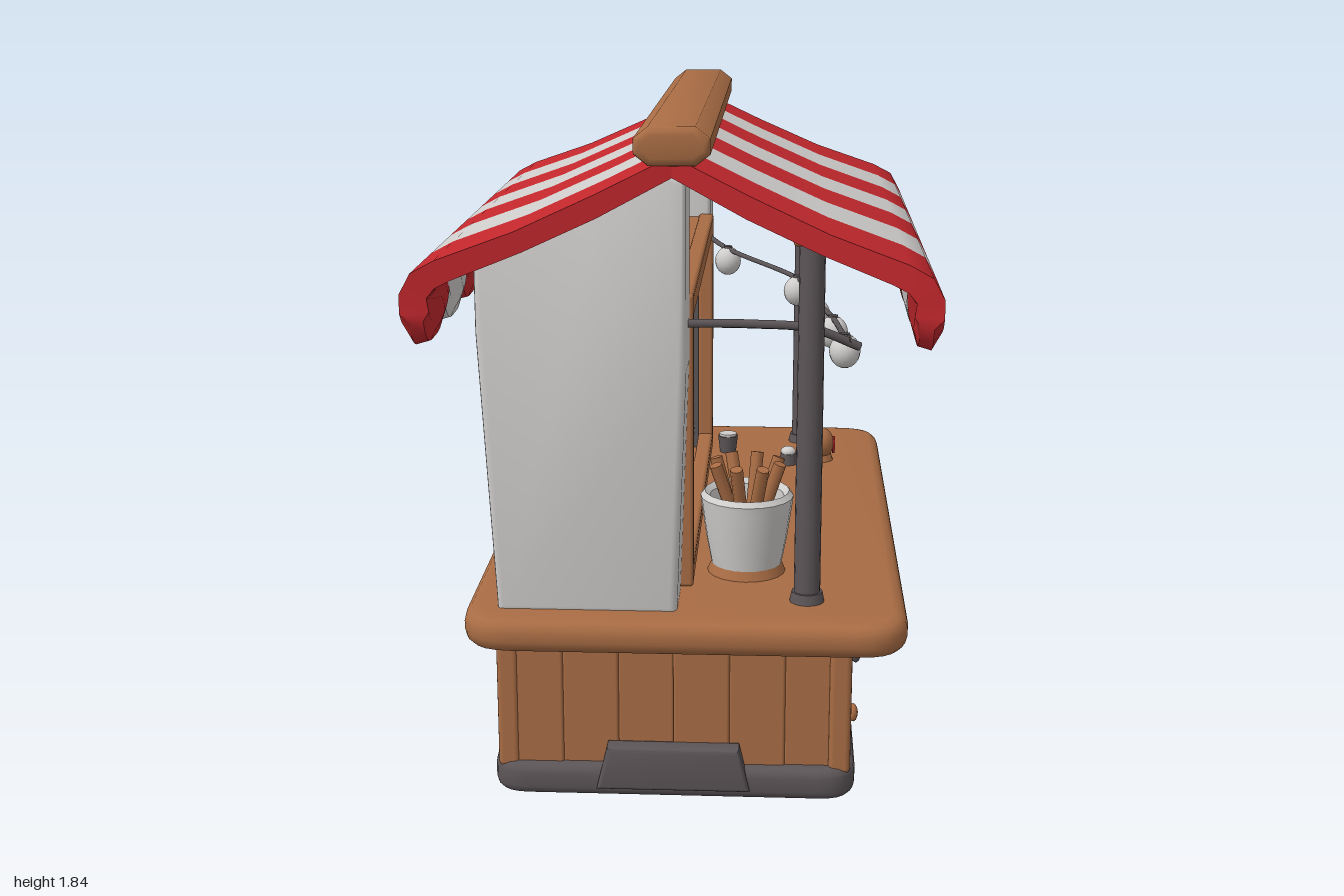
import * as THREE from 'three';
import { toCreasedNormals } from 'three/addons/utils/BufferGeometryUtils.js';
import { RoundedBoxGeometry } from 'three/addons/geometries/RoundedBoxGeometry.js';

const material = (name, color, extra = {}) => {
  const m = new THREE.MeshStandardMaterial({ color, ...extra });
  m.name = name;
  return m;
};

export function createModel() {
  const wood = material('wood', 0xa86c44);
  const white = material('white', 0xd0cecc);
  const red = material('red', 0xc3282d);
  const dark = material('dark grey', 0x5c5557);
  const model = new THREE.Group();

  const add = (name, geometry, mat, x = 0, y = 0, z = 0, parent = model) => {
    const mesh = new THREE.Mesh(geometry, mat);
    mesh.name = name;
    mesh.position.set(x, y, z);
    parent.add(mesh);
    return mesh;
  };
  const rounded = (w, h, d, r) => new RoundedBoxGeometry(w, h, d, 2, r);
  const vectors = (pts) => pts.map((p) => new THREE.Vector3(...p));
  const tube = (pts, r) => new THREE.TubeGeometry(new THREE.CatmullRomCurve3(vectors(pts)), 32, r, 8);
  const extrude = (shape, depth, bevel) => toCreasedNormals(new THREE.ExtrudeGeometry(shape, {
    depth: depth - 2 * bevel, bevelEnabled: bevel > 0, bevelSize: bevel, bevelThickness: bevel,
    bevelOffset: -bevel, bevelSegments: 3, curveSegments: 6,
  }).translate(0, 0, bevel), 0.7);
  const polygon = (pts) => new THREE.Shape(pts.map((p) => new THREE.Vector2(...p)));

  // Flat slab with rounded corners in plan, standing on its own y = 0
  const slab = (w, h, d, r, bevel) => {
    const x = w / 2, z = d / 2, s = new THREE.Shape();
    s.moveTo(-x + r, -z).lineTo(x - r, -z).quadraticCurveTo(x, -z, x, -z + r);
    s.lineTo(x, z - r).quadraticCurveTo(x, z, x - r, z);
    s.lineTo(-x + r, z).quadraticCurveTo(-x, z, -x, z - r);
    s.lineTo(-x, -z + r).quadraticCurveTo(-x, -z, -x + r, -z);
    return extrude(s, h, bevel).rotateX(-Math.PI / 2);
  };

  // Plinth, plank body and counter
  add('plinth', slab(1.0, 0.09, 1.82, 0.1, 0.025), dark);
  add('frontStep', extrude(polygon([[-0.21, 0.03], [0.21, 0.03], [0.18, 0.155], [-0.18, 0.155]]), 0.06, 0.012), dark, 0, 0, 0.87);
  add('bodyCore', new THREE.BoxGeometry(0.92, 0.4, 1.7), wood, 0, 0.27, 0);
  for (const side of [-1, 1]) {
    for (let i = 0; i < 10; i++) {
      const push = 0.006 * Math.sin(i * 2.4 + side);
      add('sidePlank', rounded(0.05, 0.4, 0.17, 0.008), wood, side * (0.452 + push), 0.27, -0.765 + i * 0.17);
    }
    for (let i = 0; i < 6; i++) {
      const push = 0.006 * Math.sin(i * 2.1 + side);
      add('endPlank', rounded(0.154, 0.4, 0.05, 0.008), wood, -0.38 + i * 0.152, 0.27, side * (0.85 + push));
    }
    for (const end of [-1, 1]) add('cornerPost', rounded(0.06, 0.4, 0.06, 0.015), wood, side * 0.455, 0.27, end * 0.855);
  }
  add('counter', slab(1.2, 0.092, 1.99, 0.14, 0.035), wood, 0.032, 0.45, 0);

  // Knobs on the body
  const knob = (r, y, z, mat) => {
    add('knobStem', new THREE.CylinderGeometry(r * 0.7, r, 0.04, 10).rotateZ(-Math.PI / 2), wood, 0.48, y, z);
    add('knob', new THREE.SphereGeometry(r, 10, 8).scale(0.5, 0.9, 1), mat, 0.5, y, z);
  };
  knob(0.032, 0.36, 0.71, dark);
  knob(0.028, 0.145, 0.64, wood);

  // Cabin: two thick end walls, leaning rear wall, dark recess
  const endShape = polygon([[-0.475, 0.53], [0.01, 0.53], [0.035, 1.2], [0.035, 1.7], [-0.01, 1.725], [-0.2, 1.63], [-0.515, 1.5], [-0.515, 1.3]]);
  add('endWallFront', extrude(endShape, 0.2, 0.02), white, 0, 0, 0.695);
  add('endWallBack', extrude(endShape, 0.2, 0.02), white, 0, 0, -0.895);
  add('rearWall', extrude(polygon([[-0.475, 0.53], [-0.42, 0.53], [-0.45, 1.49], [-0.515, 1.49], [-0.515, 1.3]]), 1.44, 0), white, 0, 0, -0.72);
  add('recessBack', new THREE.BoxGeometry(0.03, 0.78, 1.42), dark, -0.415, 0.93, 0);
  for (const side of [-1, 1]) {
    add('recessSide', new THREE.BoxGeometry(0.42, 0.78, 0.02), dark, -0.21, 0.93, side * 0.69);
    add('framePost', rounded(0.05, 0.83, 0.045, 0.01), wood, 0.02, 0.955, side * 0.68);
  }
  add('recessCeiling', new THREE.BoxGeometry(0.44, 0.05, 1.4), wood, -0.2, 1.335, 0);
  add('frameTop', rounded(0.05, 0.07, 1.4, 0.012), wood, 0.02, 1.335, 0);
  add('frameSill', rounded(0.05, 0.06, 1.4, 0.012), wood, 0.02, 0.57, 0);

  // Vent on the back end
  add('ventBody', rounded(0.24, 0.1, 0.04, 0.01), dark, -0.25, 1.28, -0.9);
  for (const y of [1.255, 1.28, 1.305]) add('ventSlat', rounded(0.19, 0.012, 0.02, 0.004), dark, -0.25, y, -0.92);

  // Awning: each stripe is a closed cross-section swept along z with a scalloped hem
  const section = [
    [0, 1.765], [0.2, 1.668], [0.4, 1.578], [0.6, 1.507], [0.66, 1.475], [0.69, 1.42], [0.69, 1.32], [0.665, 1.27],
    [0.63, 1.28], [0.615, 1.33], [0.62, 1.4], [0.6, 1.435], [0.56, 1.455], [0.38, 1.525], [0.19, 1.61], [0, 1.71]];
  const ridgeZ = [-0.9, -0.64, -0.39, -0.13, 0.13, 0.39, 0.64, 0.9];
  const eaveZ = [-0.985, -0.69, -0.405, -0.13, 0.13, 0.405, 0.69, 0.985];
  const stripe = (k) => {
    const steps = 12, n = section.length, pos = [], idx = [];
    for (let j = 0; j <= steps; j++) {
      const u = j / steps, w = Math.abs(2 * u - 1);
      for (const [x, y] of section) {
        const t = Math.min(1, x / 0.66), hem = Math.max(0, (1.42 - y) / 0.15);
        const z0 = THREE.MathUtils.lerp(ridgeZ[k], eaveZ[k], t);
        const z1 = THREE.MathUtils.lerp(ridgeZ[k + 1], eaveZ[k + 1], t);
        pos.push(x, x > 0.5 ? y + 0.075 * hem * w ** 4 : y, z0 + (z1 - z0) * u);
      }
    }
    for (let j = 0; j < steps; j++) for (let i = 0; i < n; i++) {
      const a = j * n + i, b = j * n + (i + 1) % n, c = b + n, d = a + n;
      idx.push(a, d, c, a, c, b);
    }
    for (let i = 0; i < n / 2 - 1; i++) {
      const a = i, b = i + 1, c = n - 2 - i, d = n - 1 - i, o = steps * n;
      idx.push(a, b, c, a, c, d, o + a, o + c, o + b, o + a, o + d, o + c);
    }
    const g = new THREE.BufferGeometry();
    g.setAttribute('position', new THREE.Float32BufferAttribute(pos, 3));
    g.setIndex(idx);
    return toCreasedNormals(g, 0.75);
  };
  for (const turn of [0, Math.PI]) {
    const half = new THREE.Group();
    half.name = turn ? 'awningRight' : 'awningLeft';
    half.rotation.y = turn;
    model.add(half);
    for (let k = 0; k < 7; k++) add('awningStripe', stripe(k), k % 2 ? white : red, 0, 0, 0, half);
  }
  add('ridgeBeam', extrude(polygon([[-0.06, 1.74], [0.06, 1.74], [0.098, 1.77], [0.098, 1.81], [0.06, 1.84], [-0.06, 1.84], [-0.098, 1.81], [-0.098, 1.77]]), 1.85, 0.02), wood, 0, 0, -0.93);

  // Poles with collars, and the light bracket
  for (const z of [-0.79, 0.79]) {
    add('pole', new THREE.CylinderGeometry(0.034, 0.036, 1.04, 16), dark, 0.36, 1.05, z);
    add('poleFoot', new THREE.CylinderGeometry(0.042, 0.048, 0.03, 16), dark, 0.36, 0.555, z);
    add('poleCap', rounded(0.07, 0.04, 0.08, 0.01), wood, 0.345, 1.545, z);
  }
  add('lightBracket', tube([[0, 1.31, 0.78], [0.2, 1.31, 0.78], [0.36, 1.3, 0.78], [0.49, 1.245, 0.75]], 0.012), dark);

  // Cord with hanging bulbs
  const bulbs = [[0.455, 1.24, 0.61], [0.43, 1.23, 0.33], [0.385, 1.225, 0.06], [0.33, 1.24, -0.22], [0.1, 1.28, -0.52]];
  add('lightCord', tube([[0.47, 1.27, 0.78], ...bulbs, [0, 1.31, -0.72]], 0.008), dark);
  for (const [x, y, z] of bulbs) {
    add('bulbSocket', new THREE.CylinderGeometry(0.014, 0.02, 0.03, 10), dark, x, y - 0.005, z);
    add('bulb', new THREE.SphereGeometry(0.043, 16, 12).scale(1, 1.1, 1), white, x, y - 0.04, z);
  }

  // Tub of sticks
  const tubProfile = [[0, 0], [0.1, 0], [0.115, 0.08], [0.128, 0.17], [0.132, 0.2], [0.12, 0.215], [0.105, 0.2], [0.1, 0.15], [0, 0.15]];
  add('tubBase', new THREE.CylinderGeometry(0.1, 0.112, 0.03, 20), wood, 0.19, 0.555, 0.55);
  add('tub', toCreasedNormals(new THREE.LatheGeometry(tubProfile.map((p) => new THREE.Vector2(...p)), 20), 0.6), white, 0.19, 0.565, 0.55);
  for (let i = 0; i < 8; i++) {
    const a = i * Math.PI / 4 + 0.3, lean = 0.32 + 0.06 * Math.sin(i * 3);
    const stick = add('stick', new THREE.CylinderGeometry(0.018, 0.018, 0.2, 8), wood, 0.19 + 0.065 * Math.cos(a), 0.77, 0.55 + 0.065 * Math.sin(a));
    stick.rotation.set(Math.sin(a) * lean, 0, -Math.cos(a) * lean);
  }

  // Mug with a heart, and its neighbours
  add('mugFoot', new THREE.CylinderGeometry(0.035, 0.045, 0.03, 14), wood, 0.42, 0.555, -0.56);
  add('mug', new THREE.SphereGeometry(0.052, 16, 12).scale(0.9, 1.05, 1), wood, 0.42, 0.6, -0.56);
  const heart = new THREE.Shape();
  heart.moveTo(0, -0.03).bezierCurveTo(0.03, -0.008, 0.036, 0.026, 0.014, 0.026).quadraticCurveTo(0.003, 0.026, 0, 0.014);
  heart.quadraticCurveTo(-0.003, 0.026, -0.014, 0.026).bezierCurveTo(-0.036, 0.026, -0.03, -0.008, 0, -0.03);
  add('heart', extrude(heart, 0.008, 0).rotateY(Math.PI / 2), red, 0.462, 0.592, -0.568);
  for (const [x, z] of [[0.31, -0.5], [0.38, -0.67]]) {
    add('jar', new THREE.CylinderGeometry(0.026, 0.03, 0.04, 12), dark, x, 0.56, z);
    add('jarLid', new THREE.SphereGeometry(0.026, 12, 8).scale(1, 0.7, 1), white, x, 0.585, z);
  }
  add('napkinStand', rounded(0.12, 0.07, 0.18, 0.012), dark, -0.08, 0.57, -0.52);
  add('napkinBox', rounded(0.13, 0.05, 0.21, 0.015), white, -0.08, 0.63, -0.53);
  add('cup', new THREE.CylinderGeometry(0.035, 0.028, 0.06, 14), dark, 0.1, 0.57, -0.64);
  add('cupTop', new THREE.CylinderGeometry(0.03, 0.03, 0.012, 14), white, 0.1, 0.602, -0.64);

  return model;
}
